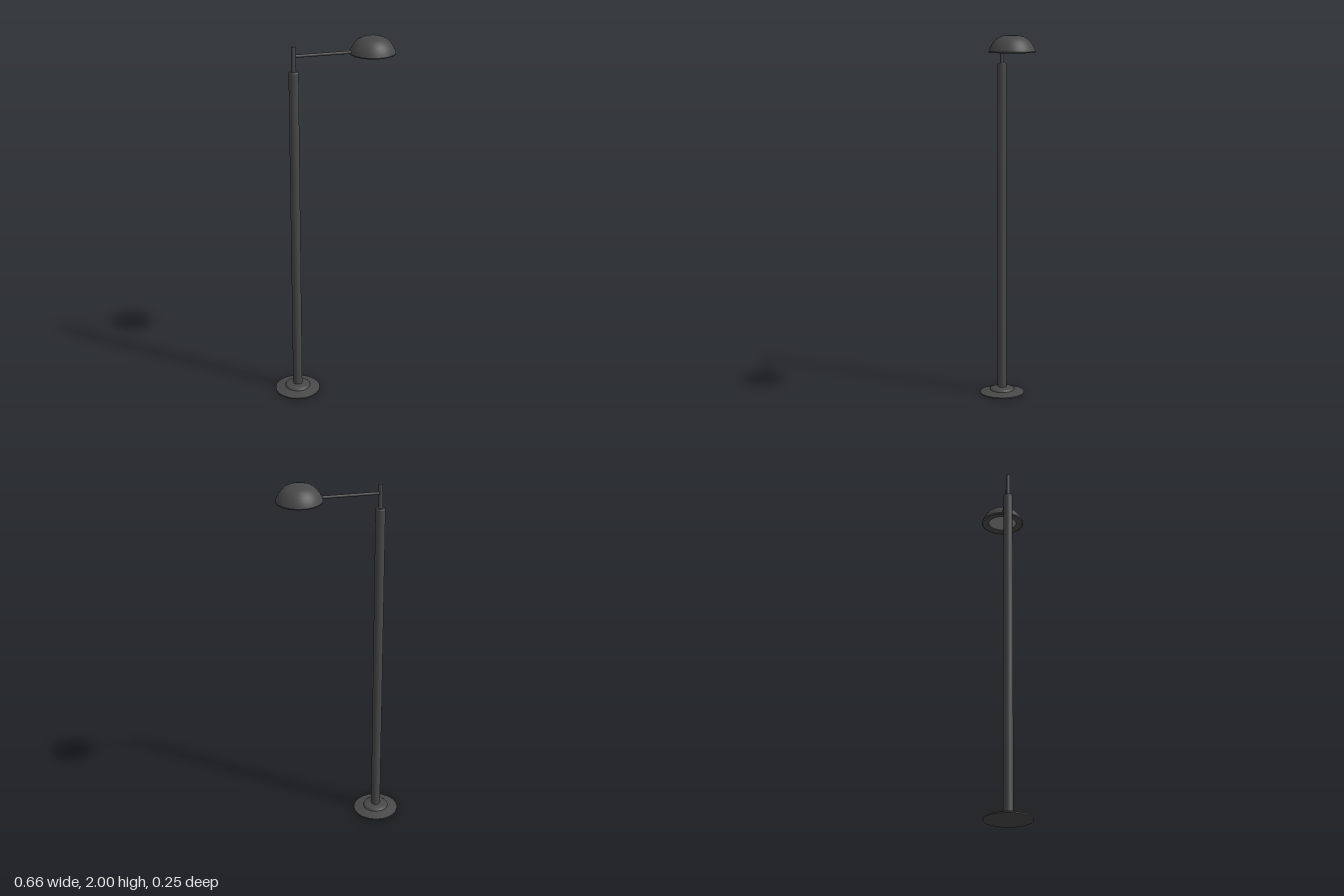
import * as THREE from 'three';

const SEG = 48;
const dark = new THREE.MeshStandardMaterial({ color: 0x484848 });
const light = new THREE.MeshStandardMaterial({ color: 0x8c8c8c });

// Lathe from bottom centre outward and up; each run of points is smooth, runs meet at sharp edges
function turned(name, runs, x, z, material = dark) {
  const group = new THREE.Group();
  group.name = name;
  group.position.set(x, 0, z);
  runs.forEach((run, i) => {
    const points = run.map(([r, y]) => new THREE.Vector2(r, y));
    const mesh = new THREE.Mesh(new THREE.LatheGeometry(points, SEG), material);
    mesh.name = `${name}Surface${i + 1}`;
    group.add(mesh);
  });
  return group;
}

function cylinder(name, radius, y0, y1, x) {
  const mesh = new THREE.Mesh(new THREE.CylinderGeometry(radius, radius, y1 - y0, 32), dark);
  mesh.name = name;
  mesh.position.set(x, (y0 + y1) / 2, 0);
  return mesh;
}

export function createModel() {
  const model = new THREE.Group();
  model.name = 'streetLamp';
  const postX = -0.206, headX = 0.208, headZ = -0.004;

  // Foot plate with a raised collar
  model.add(turned('base', [
    [[0, 0], [0.124, 0]],
    [[0.124, 0], [0.124, 0.007]],
    [[0.124, 0.007], [0.069, 0.02]],
    [[0.069, 0.02], [0.067, 0.026], [0.06, 0.031], [0.048, 0.034], [0.025, 0.037]],
  ], postX, 0));

  // Post with a softened top edge, and the thin spigot above it
  model.add(turned('post', [
    [[0.0255, 0.02], [0.0255, 1.84]],
    [[0.0255, 1.84], [0.022, 1.846]],
    [[0.022, 1.846], [0, 1.846]],
  ], postX, 0));
  model.add(cylinder('spigot', 0.0115, 1.84, 1.975, postX));

  // Arm from spigot to lamp head
  const start = new THREE.Vector3(postX, 1.925, 0);
  const end = new THREE.Vector3(headX - 0.09, 1.925, headZ);
  const arm = new THREE.Mesh(
    new THREE.TubeGeometry(new THREE.LineCurve3(start, end), 1, 0.0078, 20), dark);
  arm.name = 'arm';
  model.add(arm);

  // Domed lamp head with a rim and a recess beneath
  model.add(turned('lampHead', [
    [[0.078, 1.92], [0.08, 1.914], [0.113, 1.911]],
    [[0.113, 1.911], [0.119, 1.913], [0.119, 1.918]],
    [[0.119, 1.918], [0.114, 1.932], [0.106, 1.948], [0.094, 1.965], [0.078, 1.981],
      [0.06, 1.991], [0.04, 1.997], [0.02, 1.9995], [0, 2]],
  ], headX, headZ));

  // Light lens set into the recess
  model.add(turned('lens', [
    [[0, 1.914], [0.068, 1.914]],
    [[0.068, 1.914], [0.078, 1.917], [0.078, 1.922]],
  ], headX, headZ, light));

  return model;
}
